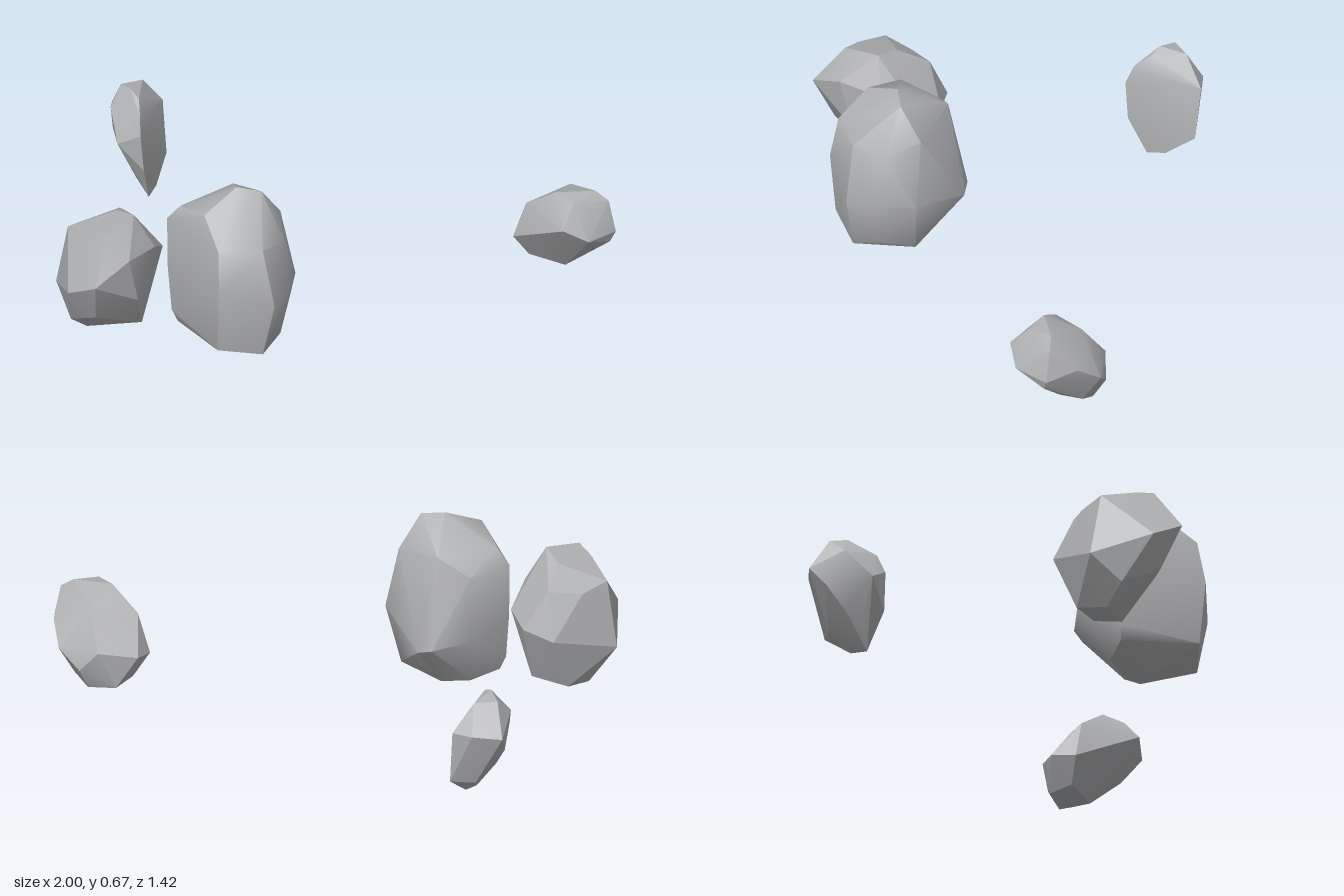
import * as THREE from 'three';
import { ConvexGeometry } from 'three/addons/geometries/ConvexGeometry.js';
import { toCreasedNormals } from 'three/addons/utils/BufferGeometryUtils.js';

const stone = new THREE.MeshStandardMaterial({ color: 0xb0b1b3 });
stone.name = 'grey stone';

// A chiselled rock: the hull of its corners, shaded smooth below the crease angle
function rock(name, crease, corners) {
  const hull = new ConvexGeometry(corners.map((c) => new THREE.Vector3(...c)));
  const mesh = new THREE.Mesh(toCreasedNormals(hull, crease), stone);
  mesh.name = name;
  return mesh;
}

export function createModel() {
  const group = new THREE.Group();
  group.name = 'rocks';

  // Tall smooth boulder with one split face
  group.add(rock('tallBoulder', 0.72, [
    // crown
    [-0.26, 0.665, 0.35], [-0.17, 0.65, 0.33], [-0.32, 0.57, 0.17], [-0.47, 0.56, 0.36], [-0.35, 0.6, 0.47],
    // shoulder
    [-0.52, 0.5, 0.36], [-0.27, 0.51, 0.57], [-0.12, 0.5, 0.5], [-0.07, 0.48, 0.38], [-0.12, 0.53, 0.25], [-0.44, 0.5, 0.2],
    // waist
    [-0.52, 0.3, 0.355], [-0.26, 0.35, 0.6], [-0.15, 0.3, 0.54], [-0.07, 0.28, 0.52], [-0.035, 0.29, 0.42],
    [-0.06, 0.28, 0.26], [-0.27, 0.2, 0.105], [-0.33, 0.22, 0.1], [-0.45, 0.25, 0.18],
    // foot
    [-0.5, 0.12, 0.37], [-0.27, 0.1, 0.58], [-0.12, 0.06, 0.5], [-0.08, 0.1, 0.4], [-0.12, 0.06, 0.27],
    [-0.27, 0, 0.39], [-0.28, 0.01, 0.28], [-0.4, 0.04, 0.28], [-0.48, 0.07, 0.36],
  ]));

  // Faceted boulder beside it
  group.add(rock('facetedBoulder', 0.36, [
    [-0.62, 0.555, 0.46], [-0.7, 0.53, 0.4], [-0.76, 0.51, 0.55], [-0.69, 0.53, 0.59], [-0.87, 0.47, 0.46],
    [-0.82, 0.45, 0.36], [-0.72, 0.47, 0.28], [-0.92, 0.22, 0.44], [-0.82, 0.3, 0.65], [-0.7, 0.37, 0.71],
    [-0.6, 0.44, 0.6], [-0.545, 0.42, 0.44], [-0.55, 0.35, 0.31], [-0.77, 0.3, 0.22], [-0.64, 0.32, 0.23],
    [-0.72, 0.2, 0.63], [-0.58, 0.25, 0.55], [-0.84, 0.12, 0.53],
    [-0.8, 0.05, 0.45], [-0.6, 0.08, 0.42], [-0.63, 0.09, 0.32], [-0.78, 0.08, 0.32],
  ]));

  // Thin slab, flat on its left side
  group.add(rock('splitSlab', 0.36, [
    // flat face
    [-0.84, 0.42, -0.46], [-0.86, 0.455, -0.52], [-0.86, 0.43, -0.65], [-0.82, 0.35, -0.71], [-0.8, 0.14, -0.69],
    [-0.81, 0.06, -0.58], [-0.82, 0.05, -0.51], [-0.82, 0.2, -0.44], [-0.83, 0.35, -0.43],
    // rounded back
    [-0.9, 0.475, -0.55], [-0.88, 0.46, -0.65], [-0.95, 0.46, -0.6], [-1, 0.34, -0.66], [-0.97, 0.4, -0.53],
    [-0.98, 0.27, -0.6], [-0.92, 0.3, -0.44], [-0.9, 0.35, -0.71], [-0.88, 0.13, -0.64], [-0.87, 0.12, -0.52],
    [-0.92, 0.18, -0.55],
  ]));

  // Lone rock with an undercut front
  group.add(rock('loneRock', 0.4, [
    // undercut face
    [0.84, 0.34, -0.18], [0.93, 0.29, -0.21], [0.61, 0.2, -0.33], [0.8, 0.09, -0.36], [0.66, 0.11, -0.37],
    // top and back
    [0.98, 0.24, -0.32], [1, 0.28, -0.33], [0.97, 0.4, -0.34], [0.92, 0.435, -0.34], [0.78, 0.43, -0.3],
    [0.86, 0.42, -0.25], [0.66, 0.35, -0.33], [0.8, 0.39, -0.44], [0.61, 0.22, -0.43], [0.95, 0.31, -0.44],
    [0.73, 0.25, -0.52], [0.89, 0.24, -0.52], [0.8, 0.17, -0.53],
    // underside
    [0.79, 0.085, -0.48], [0.68, 0.1, -0.47], [0.86, 0.12, -0.45],
  ]));

  return group;
}
